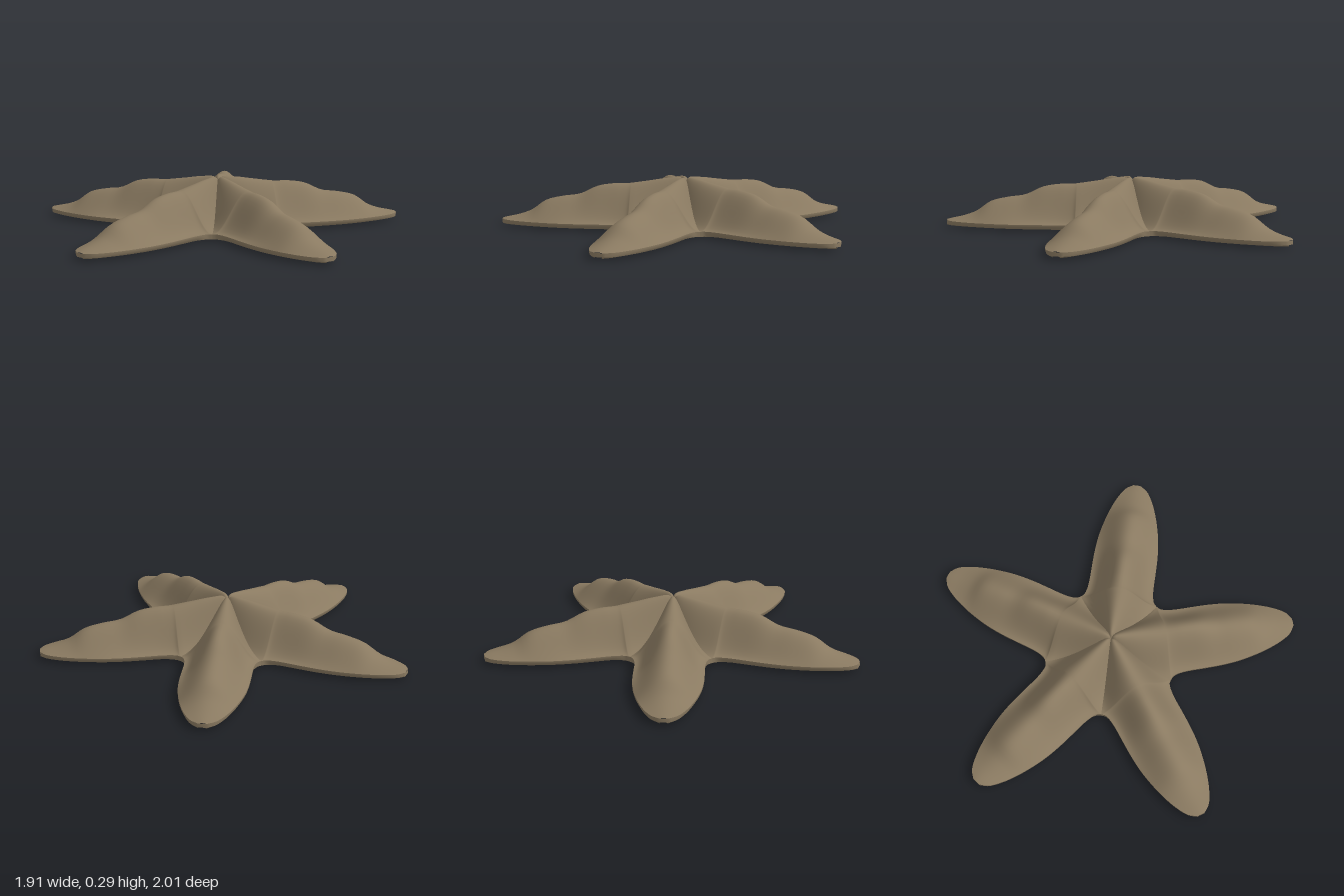
import * as THREE from 'three';

const ARMS = 5, TAN = Math.tan(Math.PI / ARMS);
const NOTCH = 0.303; // distance along an arm at which neighbouring arms part
const RIM_Y = 0.042;

// Arm stations: [distance from centre, ridge height, half width]
const inner = [[0, 0.25], [0.02, 0.286], [0.1, 0.285], [0.2, 0.27], [NOTCH, 0.255]]
  .map(([u, h]) => [u, h, u * TAN]);
const outer = [
  [NOTCH, 0.255, NOTCH * TAN], [0.32, 0.253, 0.203], [0.35, 0.252, 0.193], [0.4, 0.251, 0.187],
  [0.5, 0.235, 0.186], [0.6, 0.19, 0.184], [0.7, 0.175, 0.175], [0.8, 0.15, 0.155],
  [0.88, 0.095, 0.132], [0.95, 0.068, 0.105], [1.02, 0.052, 0.064], [1.05, 0.045, 0.022],
];

function sample(points, n) {
  const curve = new THREE.CatmullRomCurve3(points.map((p) => new THREE.Vector3(...p)));
  return Array.from({ length: n + 1 }, (_, i) => curve.getPoint(i / n));
}

// Smooth grid surface; its normal follows (i direction) x (j direction) unless flipped
function sheet(ni, nj, fn, flip = false) {
  const pos = [], index = [];
  for (let i = 0; i <= ni; i++) for (let j = 0; j <= nj; j++) pos.push(...fn(i, j));
  for (let i = 0; i < ni; i++) for (let j = 0; j < nj; j++) {
    const a = i * (nj + 1) + j, b = a + nj + 1;
    if (flip) index.push(a, a + 1, b, b, a + 1, b + 1);
    else index.push(a, b, a + 1, b, b + 1, a + 1);
  }
  const g = new THREE.BufferGeometry();
  g.setAttribute('position', new THREE.Float32BufferAttribute(pos, 3));
  g.setIndex(index);
  g.computeVertexNormals();
  return g;
}

const under = (u, s) => 0.004 + 0.008 * u + 0.008 * s ** 4 * Math.min(1, u / NOTCH);

export function createModel() {
  const skin = new THREE.MeshStandardMaterial({ color: 0x8a7a61 });
  const outerRows = sample(outer, 36);
  const rows = [...sample(inner, 14), ...outerRows.slice(1)];
  const N = rows.length - 1, M = 24;

  // Upper skin: a bell-shaped section near the disc becoming a dome towards the tip
  const top = sheet(N, M, (i, j) => {
    const { x: u, y: h, z: w } = rows[i], s = j / M * 2 - 1;
    const reach = Math.min(1, u / NOTCH) ** 0.7;
    const t = Math.abs(s) * reach;
    const bell = (1 + Math.cos(Math.PI * t)) / 2, dome = 1 - t * t;
    const f = THREE.MathUtils.lerp(bell, dome, 0.75 * THREE.MathUtils.smoothstep(u, 0.4, 0.95));
    return [u, RIM_Y + (h - RIM_Y) * f, s * w];
  }, true);

  // Nearly flat underside, slightly inset from the rim
  const inset = (u) => 1 - 0.05 * THREE.MathUtils.smoothstep(u, NOTCH, 0.4);
  const bottom = sheet(N, M, (i, j) => {
    const { x: u, z: w } = rows[i], s = j / M * 2 - 1;
    return [u, under(u, s), s * w * inset(u)];
  });

  // Thin edge running out along one side, round the tip and back
  const path = [...outerRows.map((p) => [p, -1]), ...outerRows.slice().reverse().map((p) => [p, 1])];
  const rim = sheet(path.length - 1, 2, (i, j) => {
    const [{ x: u, z: w }, side] = path[i];
    const low = under(u, 1);
    return [u, [RIM_Y, 0.03, low][j], side * w * (j === 2 ? inset(u) : 1)];
  });

  const model = new THREE.Group();
  model.name = 'starfish';
  for (let k = 0; k < ARMS; k++) {
    const arm = new THREE.Group();
    arm.name = 'arm' + (k + 1);
    Object.entries({ upperSkin: top, underside: bottom, rim }).forEach(([name, g]) => {
      const mesh = new THREE.Mesh(g, skin);
      mesh.name = name;
      arm.add(mesh);
    });
    arm.position.set(-0.1, -0.004, 0);
    arm.rotation.y = k * 2 * Math.PI / ARMS;
    model.add(arm);
  }
  return model;
}
